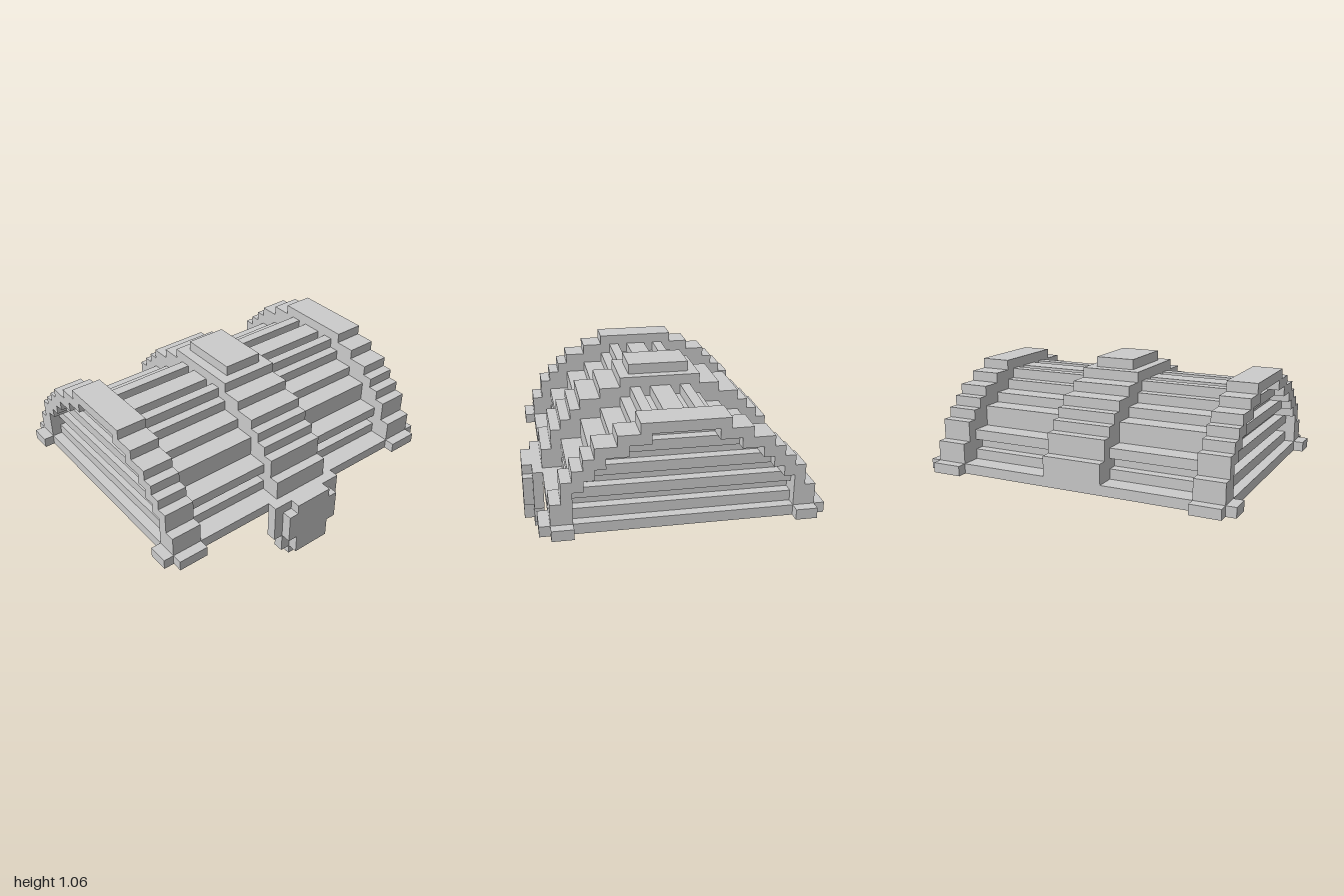
import * as THREE from 'three';

const U = 1 / 16; // one block
const mat = new THREE.MeshStandardMaterial({ color: 0xcccccc, flatShading: true });

// Stepped arch outline: steps are [half width, top height] from the bottom up
function halfOutline(steps, base) {
  const pts = [];
  let y = base;
  for (const [w, top] of steps) {
    pts.push([w, y], [w, top]);
    y = top;
  }
  return pts;
}

function arch(name, x0, x1, outer, inner, base) {
  const o = halfOutline(outer, base);
  const i = halfOutline(inner, base);
  const mirror = (p) => p.map(([z, y]) => [-z, y]);
  const loop = [...o, ...mirror(o).reverse(), ...mirror(i), ...i.slice().reverse()];
  const shape = new THREE.Shape(loop.map(([z, y]) => new THREE.Vector2(z * U, y * U)));
  const geo = new THREE.ExtrudeGeometry(shape, { depth: (x1 - x0) * U, bevelEnabled: false });
  geo.rotateY(-Math.PI / 2);
  geo.translate(x1 * U, 0, 0);
  const mesh = new THREE.Mesh(geo, mat);
  mesh.name = name;
  return mesh;
}

function box(name, x0, x1, y0, y1, z0, z1) {
  const mesh = new THREE.Mesh(new THREE.BoxGeometry((x1 - x0) * U, (y1 - y0) * U, (z1 - z0) * U), mat);
  mesh.position.set((x0 + x1) / 2 * U, (y0 + y1) / 2 * U, (z0 + z1) / 2 * U);
  mesh.name = name;
  return mesh;
}

// box mirrored left and right
function boxPair(name, x0, x1, ...rest) {
  return [box(name, x0, x1, ...rest), box(name, -x1, -x0, ...rest)];
}

export function createModel() {
  const model = new THREE.Group();
  model.name = 'chestLid';
  const lid = new THREE.Group();
  lid.name = 'lid';
  lid.position.z = -U / 2;
  model.add(lid);

  const bandSteps = [[12, 9], [11, 11], [10, 12], [9, 13], [8, 14], [6, 15], [4, 16]];
  const openingSteps = [[10, 10], [9, 11], [8, 12], [7, 13], [5, 14], [3, 15]];
  const hollowSteps = [[8, 9], [7, 10], [6, 11], [5, 12], [3, 13]];
  const plankSteps = [[10, 8], [9, 9], [10, 10], [8, 12], [6, 13], [4, 14]];

  // Vaulted plank shell with ridges along the top
  lid.add(arch('plankVault', -12, 12, plankSteps, hollowSteps, 7));
  for (const [z0, z1] of [[-3, -2], [-1, 1], [2, 3]]) lid.add(box('topPlank', -12, 12, 14, 15, z0, z1));

  // Rim frame, open in the middle
  for (const [z0, z1] of [[-12, -8], [8, 12]]) lid.add(box('rimRail', -15, 15, 6, 7, z0, z1));
  lid.add(...boxPair('rimEnd', 12, 15, 6, 7, -8, 8));

  // Bands at both ends and the middle strap
  lid.add(arch('endBand', 12, 15, bandSteps, openingSteps, 7));
  lid.add(arch('endBand', -15, -12, bandSteps, openingSteps, 7));
  lid.add(arch('middleStrap', -3, 3, bandSteps, hollowSteps, 7));
  lid.add(box('topKnob', -2, 2, 16, 17, -3, 3));

  // Recessed end walls of alternating planks
  for (let y = 7; y < 15; y++) {
    const w = openingSteps.find(([, top]) => y < top)[0];
    lid.add(...boxPair('endPlank', 12, y % 2 ? 14 : 13, y, y + 1, -w, w));
  }

  // Corner feet
  for (const s of [-1, 1]) {
    const span = (a, b) => (s > 0 ? [a, b] : [-b, -a]);
    lid.add(...boxPair('bandFoot', 12, 15, 6, 7, ...span(12, 13)));
    lid.add(...boxPair('cornerFoot', 15, 16, 6, 7, ...span(10, 12)));
  }

  // Hanging latch: back plate, front plate and inner catch
  lid.add(box('latchPlate', -4, 4, 3, 7, 12, 13));
  lid.add(box('latchPlateLower', -3, 3, 1, 3, 12, 13));
  lid.add(box('latchTip', -2, 2, 0, 1, 12, 13));
  lid.add(box('latchFace', -2, 2, 1, 7, 13, 14));
  lid.add(...boxPair('latchFaceSide', 2, 3, 3, 6, 13, 14));
  lid.add(box('innerCatch', -2, 2, 6, 9, 7, 8));

  return model;
}
